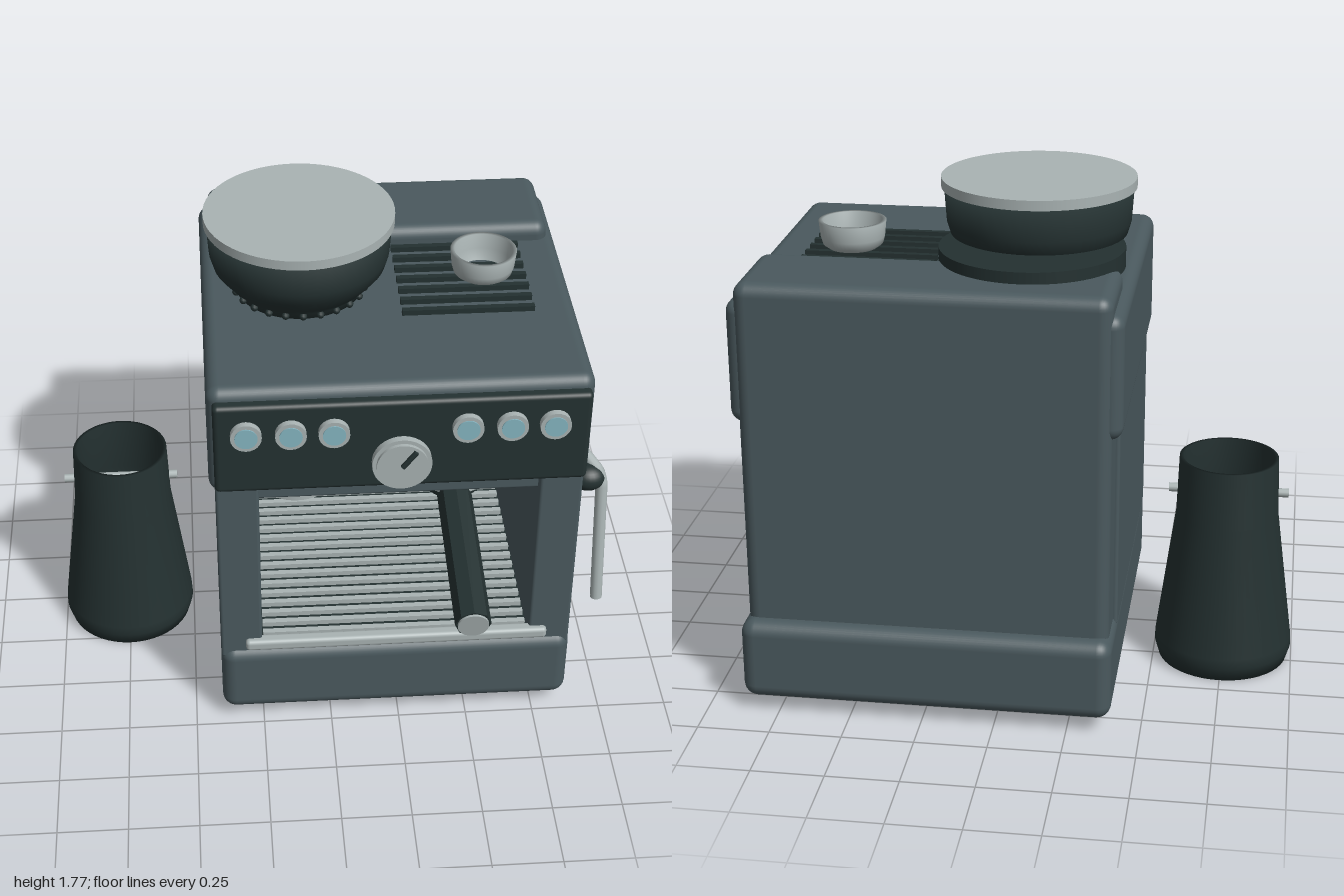
import * as THREE from 'three';
import { RoundedBoxGeometry } from 'three/addons/geometries/RoundedBoxGeometry.js';

const mat = (name, color, side = THREE.FrontSide) => {
  const m = new THREE.MeshStandardMaterial({ color, side });
  m.name = name;
  return m;
};

export function createModel() {
  const body = mat('slate body', 0x4a595e);
  const dark = mat('dark plastic', 0x243131, THREE.DoubleSide);
  const silver = mat('silver metal', 0xa9b3b3, THREE.DoubleSide);
  const blue = mat('button blue', 0x86b6c2);

  const model = new THREE.Group();
  model.name = 'espressoMachine';

  const add = (name, geometry, material, x = 0, y = 0, z = 0) => {
    const mesh = new THREE.Mesh(geometry, material);
    mesh.name = name;
    mesh.position.set(x, y, z);
    model.add(mesh);
    return mesh;
  };
  // Rounded box given by its limits on each axis
  const block = (name, material, [x0, x1], [y0, y1], [z0, z1], r) =>
    add(name, new RoundedBoxGeometry(x1 - x0, y1 - y0, z1 - z0, 4, r), material,
      (x0 + x1) / 2, (y0 + y1) / 2, (z0 + z1) / 2);
  // Cylinder between two points
  const rod = (name, material, a, b, r, sides = 16) => {
    const p = new THREE.Vector3(...a), q = new THREE.Vector3(...b);
    const mesh = add(name, new THREE.CylinderGeometry(r, r, p.distanceTo(q), sides), material);
    mesh.position.copy(p).add(q).multiplyScalar(0.5);
    mesh.quaternion.setFromUnitVectors(new THREE.Vector3(0, 1, 0), q.sub(p).normalize());
    return mesh;
  };
  const lathe = (name, material, points, x, y, z) =>
    add(name, new THREE.LatheGeometry(points.map(p => new THREE.Vector2(...p)), 48), material, x, y, z);

  // Housing
  block('base', body, [-0.4, 0.875], [0.05, 0.34], [-0.875, 0.485], 0.05);
  block('rearTank', body, [-0.385, 0.857], [0.2, 1.535], [-0.82, -0.44], 0.045);
  block('head', body, [-0.42, 0.89], [1.04, 1.47], [-0.8, 0.45], 0.045);
  block('leftSidePanel', body, [0.72, 0.87], [0.3, 1.1], [-0.64, 0.465], 0.012);
  block('rightSidePanel', body, [-0.4, -0.25], [0.3, 1.1], [-0.64, 0.465], 0.012);
  block('cavityCeiling', body, [-0.26, 0.73], [1.0, 1.12], [-0.46, 0.43], 0.01);

  // Control panel with buttons and dial
  block('controlPanel', dark, [-0.4, 0.875], [1.075, 1.43], [0.43, 0.487], 0.018);
  for (const x of [-0.29, -0.14, 0.005, 0.455, 0.605, 0.75]) {
    rod('buttonRim', silver, [x, 1.32, 0.48], [x, 1.32, 0.51], 0.053, 24);
    rod('buttonFace', blue, [x, 1.32, 0.508], [x, 1.32, 0.514], 0.039, 24);
  }
  rod('dialRim', silver, [0.235, 1.187, 0.48], [0.235, 1.187, 0.512], 0.102, 40);
  rod('dialFace', silver, [0.235, 1.187, 0.51], [0.235, 1.187, 0.525], 0.088, 40);
  rod('dialNeedle', dark, [0.235, 1.19, 0.53], [0.28, 1.25, 0.53], 0.01, 8);

  // Drip tray
  add('trayFloor', new THREE.BoxGeometry(0.97, 0.01, 0.86), dark, 0.235, 0.343, 0.01);
  for (let i = 0; i < 16; i++) {
    add('traySlat', new THREE.BoxGeometry(0.96, 0.02, 0.022), silver, 0.235, 0.357, 0.405 - i * 0.054);
  }
  block('trayFrontBar', silver, [-0.31, 0.785], [0.342, 0.387], [0.44, 0.488], 0.015);

  // Brewing heads
  for (const x of [-0.11, 0.455]) {
    add('brewHead', new THREE.CylinderGeometry(0.137, 0.137, 0.115, 40), silver, x, 0.947, 0.17);
  }

  // Filter holder and its faceted handle
  add('filterBasket', new THREE.CylinderGeometry(0.118, 0.1, 0.08, 32), dark, 0.455, 0.88, 0.17);
  const handleAt = z => [0.45, 0.767 + (0.865 - z) * 0.184, z];
  const handle = rod('filterHandle', dark, handleAt(0.15), handleAt(0.862), 0.062, 8);
  handle.geometry = handle.geometry.toNonIndexed();
  handle.geometry.computeVertexNormals();
  rod('handleCap', silver, handleAt(0.855), handleAt(0.87), 0.053, 24);

  // Steam wand
  add('wandJoint', new THREE.SphereGeometry(0.055, 24, 16), dark, 0.92, 0.948, 0.312).scale.set(1.15, 0.9, 1);
  const wandPath = new THREE.CurvePath();
  const bend = [[0.87, 1.04, 0.19], [0.955, 0.975, 0.315], [0.968, 0.93, 0.327], [0.975, 0.455, 0.39]]
    .map(p => new THREE.Vector3(...p));
  for (let i = 0; i < 3; i++) wandPath.add(new THREE.LineCurve3(bend[i], bend[i + 1]));
  add('steamWand', new THREE.TubeGeometry(wandPath, 40, 0.022, 12), silver);
  rod('wandTip', silver, [0.9749, 0.46, 0.3893], [0.975, 0.45, 0.3907], 0.022, 12);

  // Bean hopper
  lathe('hopperBowl', dark, [[0, 1.46], [0.225, 1.46], [0.23, 1.49], [0.26, 1.52], [0.305, 1.575],
    [0.318, 1.62], [0.326, 1.735], [0, 1.735]], -0.07, 0, -0.2);
  add('hopperLid', new THREE.CylinderGeometry(0.335, 0.335, 0.035, 64), silver, -0.07, 1.752, -0.2);
  add('hopperCollar', new THREE.CylinderGeometry(0.315, 0.315, 0.068, 64), dark, -0.07, 1.541, -0.38);
  for (let i = 0; i < 24; i++) {
    const a = i / 24 * Math.PI * 2;
    add('hopperTooth', new THREE.SphereGeometry(0.014, 8, 6), dark,
      -0.07 + Math.cos(a) * 0.235, 1.485, -0.2 + Math.sin(a) * 0.235);
  }

  // Cup warmer grate and cup
  for (let i = 0; i < 7; i++) {
    add('warmerSlat', new THREE.BoxGeometry(0.465, 0.03, 0.022), dark, 0.508, 1.475, -0.4 + i * 0.07);
  }
  lathe('cup', silver, [[0.085, 1.49], [0.105, 1.505], [0.112, 1.53], [0.118, 1.587], [0.104, 1.587],
    [0.102, 1.53], [0.085, 1.49]], 0.585, 0, -0.2);

  // Milk jug with cross pin
  lathe('milkJug', dark, [[0, 0], [0.232, 0], [0.247, 0.05], [0.245, 0.085], [0.182, 0.56], [0.175, 0.77],
    [0.162, 0.77], [0.168, 0.56], [0.228, 0.085], [0, 0.03]], -0.75, 0, -0.2);
  rod('jugPin', silver, [-0.965, 0.64, -0.2], [-0.54, 0.64, -0.2], 0.016, 12);

  return model;
}
